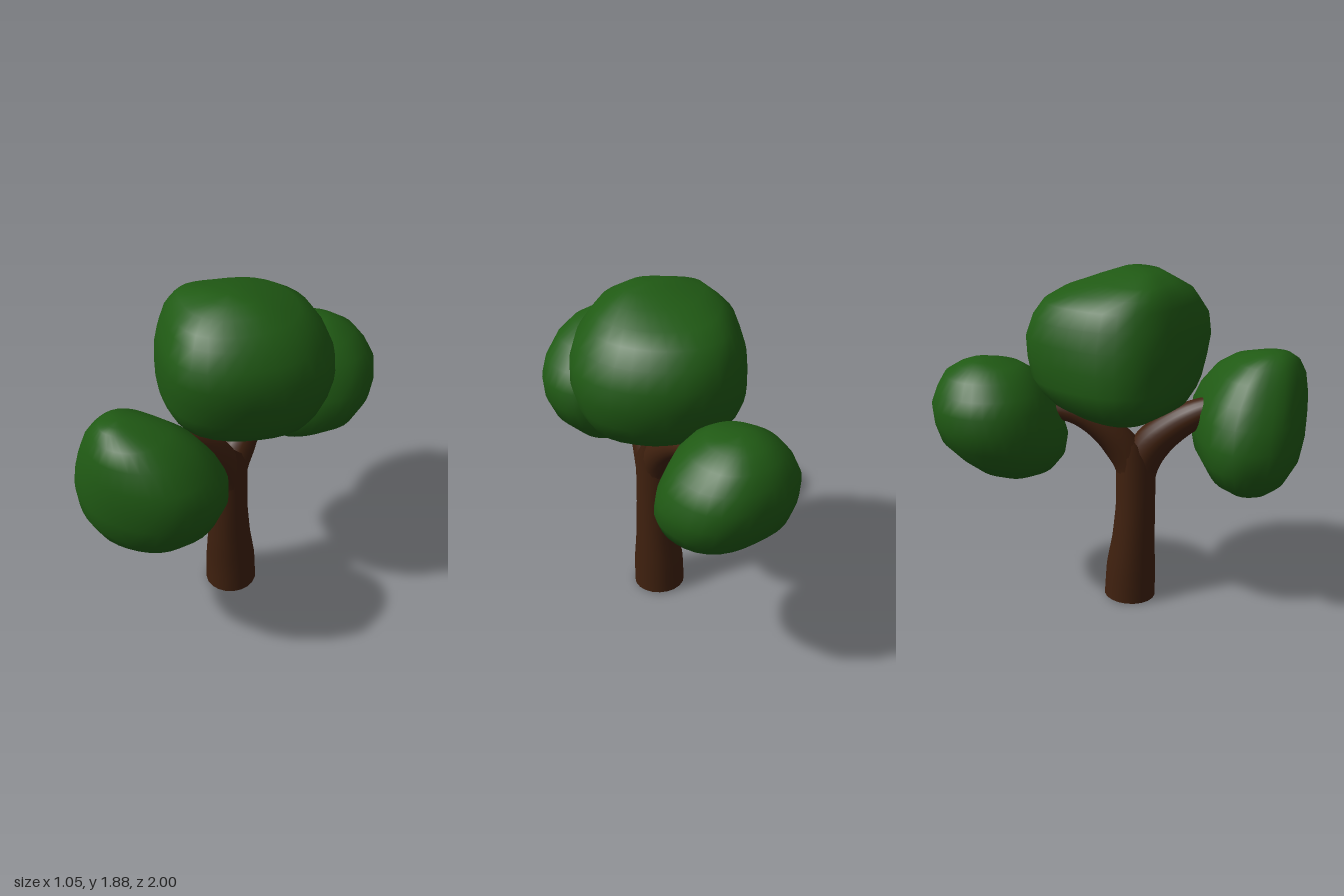
import * as THREE from 'three';

const bark = new THREE.MeshStandardMaterial({ color: 0x40210f });
const leaves = new THREE.MeshStandardMaterial({ color: 0x205a14 });

// Tapered limb: a tube along points [x, y, z, radius]
function limb(name, pts) {
  const curve = new THREE.CatmullRomCurve3(pts.map(p => new THREE.Vector3(p[0], p[1], p[2])));
  const rings = (pts.length - 1) * 4, sides = 20;
  const geo = new THREE.TubeGeometry(curve, rings, 1, sides);
  // look up the radius along the same spacing the tube uses
  const pos = geo.attributes.position, v = new THREE.Vector3();
  for (let i = 0; i <= rings; i++) {
    const centre = curve.getPointAt(i / rings);
    const t = curve.getUtoTmapping(i / rings) * (pts.length - 1);
    const k = Math.min(Math.floor(t), pts.length - 2);
    const r = THREE.MathUtils.lerp(pts[k][3], pts[k + 1][3], t - k);
    for (let j = 0; j <= sides; j++) {
      const n = i * (sides + 1) + j;
      v.fromBufferAttribute(pos, n).sub(centre).multiplyScalar(r).add(centre);
      pos.setXYZ(n, v.x, v.y, v.z);
    }
  }
  const mesh = new THREE.Mesh(geo, bark);
  mesh.name = name;
  mesh.userData.startTangent = curve.getTangentAt(0);
  return mesh;
}

// Foliage clump: oval cross-sections [y, xMin, xMax, zMin, zMax] closed by a
// point at the bottom and the top; bulge swells or flattens the four corners
// in the order +x+z, -x+z, -x-z, +x-z
function clump(name, bulge, rows) {
  const sides = 32, pos = [], idx = [];
  rows.forEach(([y, x0, x1, z0, z1]) => {
    for (let j = 0; j < sides; j++) {
      const a = (j / sides) * Math.PI * 2;
      const s = 1 + bulge[Math.floor(j * 4 / sides)] * Math.sin(2 * a) ** 2;
      pos.push((x0 + x1) / 2 + (x1 - x0) / 2 * s * Math.cos(a), y,
        (z0 + z1) / 2 + (z1 - z0) / 2 * s * Math.sin(a));
    }
  });
  const last = rows.length - 1;
  for (let i = 0; i < last; i++) {
    for (let j = 0; j < sides; j++) {
      const k = (j + 1) % sides;
      const a = i * sides + j, b = i * sides + k, c = a + sides, d = b + sides;
      idx.push(a, c, b, b, c, d);
    }
  }
  // end fans
  [[0, -0.008], [last, 0.008]].forEach(([i, lift]) => {
    const [y, x0, x1, z0, z1] = rows[i];
    const tip = pos.length / 3;
    pos.push((x0 + x1) / 2, y + lift, (z0 + z1) / 2);
    for (let j = 0; j < sides; j++) {
      const a = i * sides + j, b = i * sides + (j + 1) % sides;
      if (lift > 0) idx.push(a, tip, b); else idx.push(a, b, tip);
    }
  });
  const geo = new THREE.BufferGeometry();
  geo.setAttribute('position', new THREE.Float32BufferAttribute(pos, 3));
  geo.setIndex(idx);
  geo.computeVertexNormals();
  const mesh = new THREE.Mesh(geo, leaves);
  mesh.name = name;
  return mesh;
}

export function createModel() {
  const tree = new THREE.Group();
  tree.name = 'tree';

  // Trunk, flared at the foot, its rounded top filling the fork
  const trunk = limb('trunk', [
    [0, 0.012, 0.058, 0.145], [0, 0.18, 0.065, 0.141], [0, 0.36, 0.078, 0.121],
    [0, 0.55, 0.088, 0.111], [0, 0.75, 0.09, 0.11], [0, 0.87, 0.09, 0.112],
    [0, 0.945, 0.088, 0.08], [0, 0.975, 0.086, 0.01],
  ]);

  // Underside of the trunk
  const base = new THREE.Mesh(new THREE.CircleGeometry(0.145, 20), bark);
  base.name = 'trunkBase';
  base.position.set(0, 0.012, 0.058);
  base.quaternion.setFromUnitVectors(new THREE.Vector3(0, 0, 1),
    trunk.userData.startTangent.clone().negate());

  // Two branches that part at the fork
  const frontBranch = limb('frontBranch', [
    [0, 0.62, 0.095, 0.09], [0, 0.8, 0.115, 0.1], [-0.025, 0.94, 0.18, 0.105],
    [-0.06, 1.04, 0.28, 0.092], [-0.095, 1.115, 0.39, 0.08], [-0.12, 1.17, 0.52, 0.06],
  ]);
  const backBranch = limb('backBranch', [
    [0, 0.62, 0.085, 0.09], [0, 0.8, 0.075, 0.1], [0.015, 0.93, 0, 0.096],
    [0.035, 1.035, -0.12, 0.069], [0.055, 1.1, -0.25, 0.05], [0.08, 1.14, -0.48, 0.04],
  ]);

  // Foliage
  const topFoliage = clump('topFoliage', [-0.06, -0.1, -0.08, -0.03], [
    [1.063, -0.05, 0.1, -0.07, 0.07], [1.09, -0.16, 0.2, -0.17, 0.14],
    [1.125, -0.28, 0.295, -0.24, 0.245], [1.2, -0.42, 0.42, -0.36, 0.37],
    [1.265, -0.452, 0.465, -0.425, 0.415], [1.33, -0.46, 0.495, -0.465, 0.445],
    [1.44, -0.455, 0.525, -0.485, 0.475], [1.55, -0.44, 0.515, -0.49, 0.495],
    [1.65, -0.41, 0.47, -0.455, 0.482], [1.735, -0.38, 0.41, -0.395, 0.425],
    [1.79, -0.335, 0.345, -0.3, 0.385], [1.84, -0.28, 0.26, -0.15, 0.3],
    [1.882, -0.12, 0.17, 0, 0.22],
  ]);
  const frontFoliage = clump('frontFoliage', [0.03, -0.05, 0.13, 0.09], [
    [0.705, -0.29, -0.14, 0.62, 0.73], [0.725, -0.36, -0.015, 0.555, 0.8],
    [0.79, -0.455, 0.125, 0.465, 0.885], [0.9, -0.515, 0.24, 0.407, 0.955],
    [1.02, -0.522, 0.295, 0.39, 0.985], [1.14, -0.49, 0.3, 0.405, 0.998],
    [1.24, -0.447, 0.255, 0.445, 1], [1.35, -0.39, 0.16, 0.515, 0.98],
    [1.42, -0.335, 0.05, 0.595, 0.94], [1.46, -0.285, -0.08, 0.68, 0.885],
    [1.472, -0.23, -0.14, 0.74, 0.84],
  ]);
  const backFoliage = clump('backFoliage', [-0.06, 0, 0, 0.06], [
    [0.762, 0.03, 0.14, -0.61, -0.51], [0.775, -0.04, 0.22, -0.67, -0.45],
    [0.81, -0.11, 0.31, -0.77, -0.35], [0.88, -0.18, 0.42, -0.865, -0.29],
    [0.98, -0.235, 0.475, -0.96, -0.273], [1.08, -0.25, 0.485, -0.992, -0.3],
    [1.18, -0.24, 0.465, -1, -0.345], [1.26, -0.2, 0.42, -0.97, -0.38],
    [1.34, -0.13, 0.34, -0.925, -0.445], [1.39, -0.05, 0.25, -0.85, -0.52],
    [1.413, 0.02, 0.18, -0.79, -0.65],
  ]);

  tree.add(trunk, base, frontBranch, backBranch, topFoliage, frontFoliage, backFoliage);
  return tree;
}
